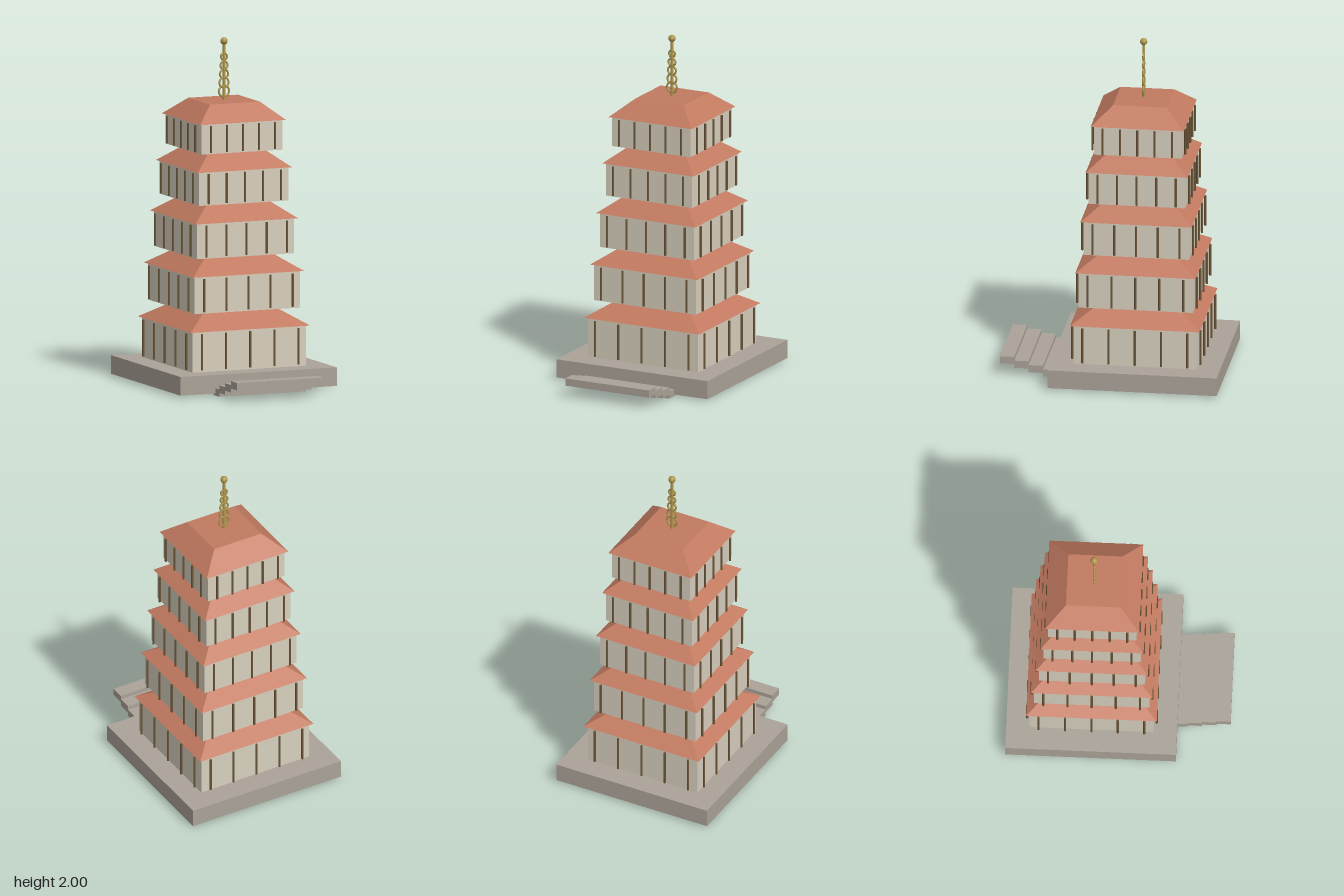
import * as THREE from 'three';

const mat = (color, flatShading = false) => new THREE.MeshStandardMaterial({ color, flatShading });
const stone = mat(0xaba398);
const plaster = mat(0xd8d0be);
const tile = mat(0xc27a60, true);
const wood = mat(0x6b5638);
const brass = mat(0xb0984c);

function add(parent, name, geometry, material, x = 0, y = 0, z = 0) {
  const mesh = new THREE.Mesh(geometry, material);
  mesh.name = name;
  mesh.position.set(x, y, z);
  parent.add(mesh);
  return mesh;
}

// Square frustum given by its half widths
function frustum(topHalf, bottomHalf, height) {
  const g = new THREE.CylinderGeometry(topHalf * Math.SQRT2, bottomHalf * Math.SQRT2, height, 4);
  return g.rotateY(Math.PI / 4);
}

// One storey: walls, a ring of free-standing posts and a hipped roof
function makeStorey(index, floorY, eaveY, roofTopY) {
  const storey = new THREE.Group();
  storey.name = 'storey' + (index + 1);
  const half = 0.357 - index * 0.0257;
  const wallHeight = eaveY - floorY;
  const midY = (floorY + eaveY) / 2;
  add(storey, 'walls', new THREE.BoxGeometry(half * 2, wallHeight, half * 2), plaster, 0, midY, 0);

  const postGeometry = new THREE.CylinderGeometry(0.0065, 0.0065, wallHeight * 0.9, 8);
  const spacing = (half - 0.053) / 2;
  const offset = half + 0.0155;
  for (let side = 0; side < 4; side++) {
    const row = new THREE.Group();
    row.name = 'postRow';
    row.rotation.y = side * Math.PI / 2;
    for (let i = -2; i <= 2; i++) add(row, 'post', postGeometry, wood, i * spacing, midY, offset);
    storey.add(row);
  }

  const eaveHalf = 0.3755 - index * 0.0263;
  const roofHeight = roofTopY - eaveY;
  add(storey, 'roof', frustum(eaveHalf * 0.577, eaveHalf, roofHeight), tile, 0, eaveY + roofHeight / 2, 0);
  return storey;
}

export function createModel() {
  const model = new THREE.Group();
  model.name = 'pagoda';

  const tower = new THREE.Group();
  tower.name = 'tower';
  tower.position.z = -0.153;
  model.add(tower);

  add(tower, 'plinth', new THREE.BoxGeometry(0.982, 0.108, 0.982), stone, 0, 0.066, 0);

  // Storeys, each starting where the roof below ends
  const floors = [0.12, 0.455, 0.769, 1.073, 1.366, 1.638];
  const eaves = [0.354, 0.669, 0.973, 1.267, 1.54];
  eaves.forEach((eave, i) => tower.add(makeStorey(i, floors[i], eave, floors[i + 1])));

  // Spire with upright rings that shrink towards the ball
  const spire = new THREE.Group();
  spire.name = 'spire';
  tower.add(spire);
  add(spire, 'mast', new THREE.CylinderGeometry(0.008, 0.008, 0.35, 12), brass, 0, 1.803, 0);
  for (let i = 0; i < 5; i++) {
    add(spire, 'ring', new THREE.TorusGeometry(0.032 - i * 0.0032, 0.006, 8, 24), brass, 0, 1.688 + i * 0.05, 0);
  }
  add(spire, 'finial', new THREE.SphereGeometry(0.021, 20, 14), brass, 0, 1.979, 0);

  // Overlapping steps that climb away from the plinth
  const stepGeometry = new THREE.BoxGeometry(0.544, 0.0435, 0.0835);
  for (let i = 0; i < 4; i++) {
    add(model, 'step', stepGeometry, stone, 0, 0.022 + i * 0.0228, 0.352 + i * 0.0833);
  }
  return model;
}
